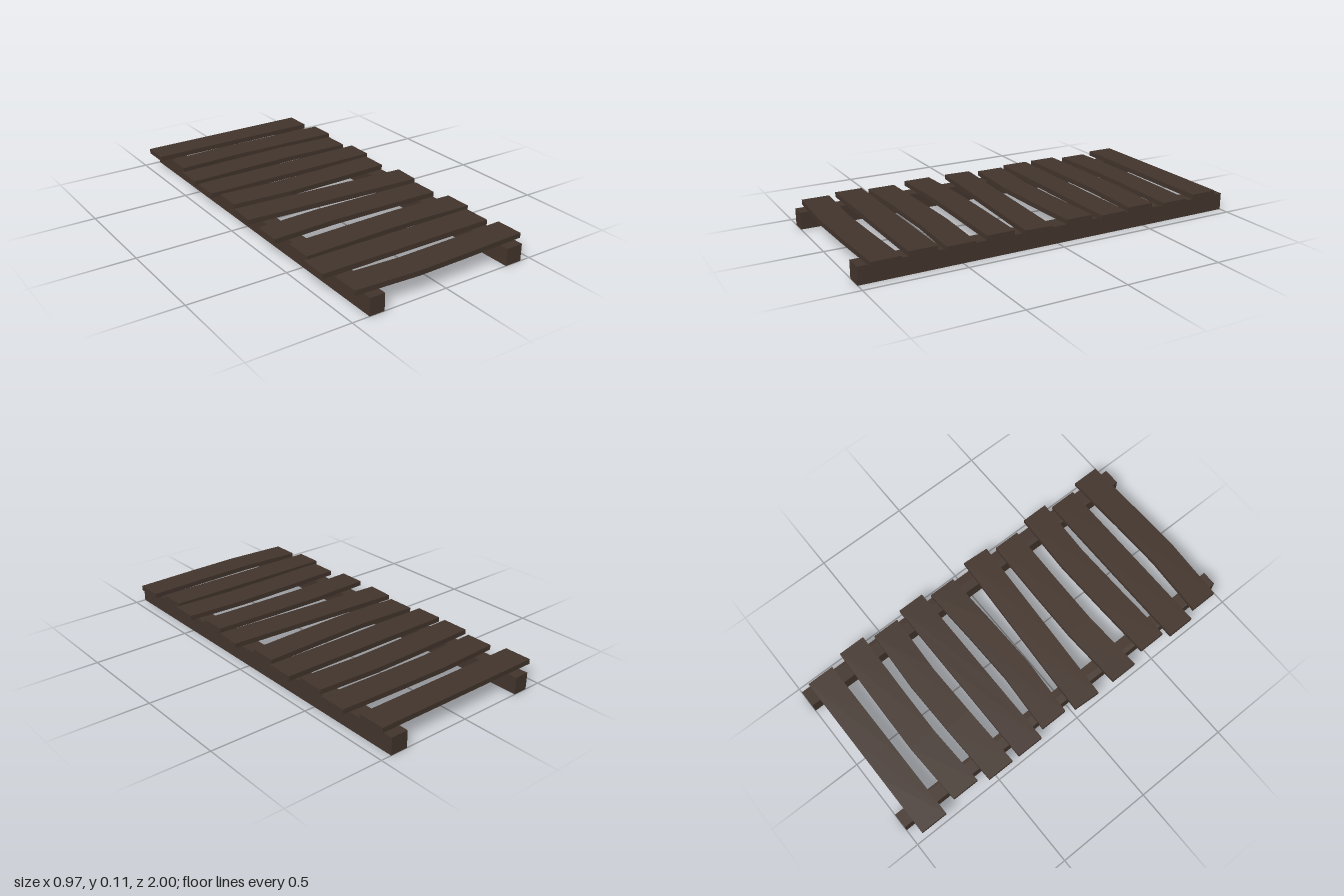
import * as THREE from 'three';

const BEAM_TOP = 0.087, PLANK_THICK = 0.025, PLANK_WIDTH = 0.143;

// [left x, right x, centre z, bow in z, side of the bow's peak (-1 or 1), skew in z]
const PLANKS = [
  [-0.487, 0.45, -0.879, 0, 1, 0],
  [-0.455, 0.482, -0.666, -0.014, -1, 0],
  [-0.487, 0.45, -0.476, -0.015, 1, 0],
  [-0.487, 0.482, -0.294, 0, 1, 0],
  [-0.455, 0.45, -0.118, 0.019, -1, 0],
  [-0.484, 0.482, 0.098, 0, 1, 0.056],
  [-0.487, 0.45, 0.309, -0.014, -1, 0],
  [-0.455, 0.482, 0.526, -0.015, 1, 0],
  [-0.487, 0.45, 0.694, 0, 1, 0],
  [-0.455, 0.482, 0.88, 0.018, -1, 0],
];

// Plank outline seen from above: a strip in three segments, bowed to one side
function plankGeometry(length, bow, peak) {
  const h = length / 2, w = PLANK_WIDTH / 2;
  const spine = [[-h, 0], [-0.14, peak < 0 ? bow : bow * 0.65], [0.14, peak > 0 ? bow : bow * 0.65], [h, 0]];
  const lower = spine.map(([x, z]) => new THREE.Vector2(x, -z - w));
  const upper = spine.map(([x, z]) => new THREE.Vector2(x, -z + w)).reverse();
  const geometry = new THREE.ExtrudeGeometry(new THREE.Shape([...lower, ...upper]), {
    depth: PLANK_THICK, bevelEnabled: false,
  });
  return geometry.rotateX(-Math.PI / 2);
}

export function createModel() {
  const model = new THREE.Group();
  model.name = 'plankWalkway';
  const wood = new THREE.MeshStandardMaterial({ color: 0x42342c });
  wood.name = 'dark wood';

  // Two long bearers, one slightly wider
  for (const [name, x0, x1] of [['rightBeam', -0.412, -0.335], ['leftBeam', 0.355, 0.445]]) {
    const beam = new THREE.Mesh(new THREE.BoxGeometry(x1 - x0, BEAM_TOP, 2), wood);
    beam.position.set((x0 + x1) / 2, BEAM_TOP / 2, 0);
    beam.name = name;
    model.add(beam);
  }

  // Uneven cross planks
  PLANKS.forEach(([x0, x1, z, bow, peak, skew], i) => {
    const plank = new THREE.Mesh(plankGeometry(x1 - x0, bow, peak), wood);
    plank.position.set((x0 + x1) / 2, BEAM_TOP, z);
    plank.rotation.y = -Math.atan2(skew, x1 - x0);
    plank.name = `plank${i + 1}`;
    model.add(plank);
  });
  return model;
}
